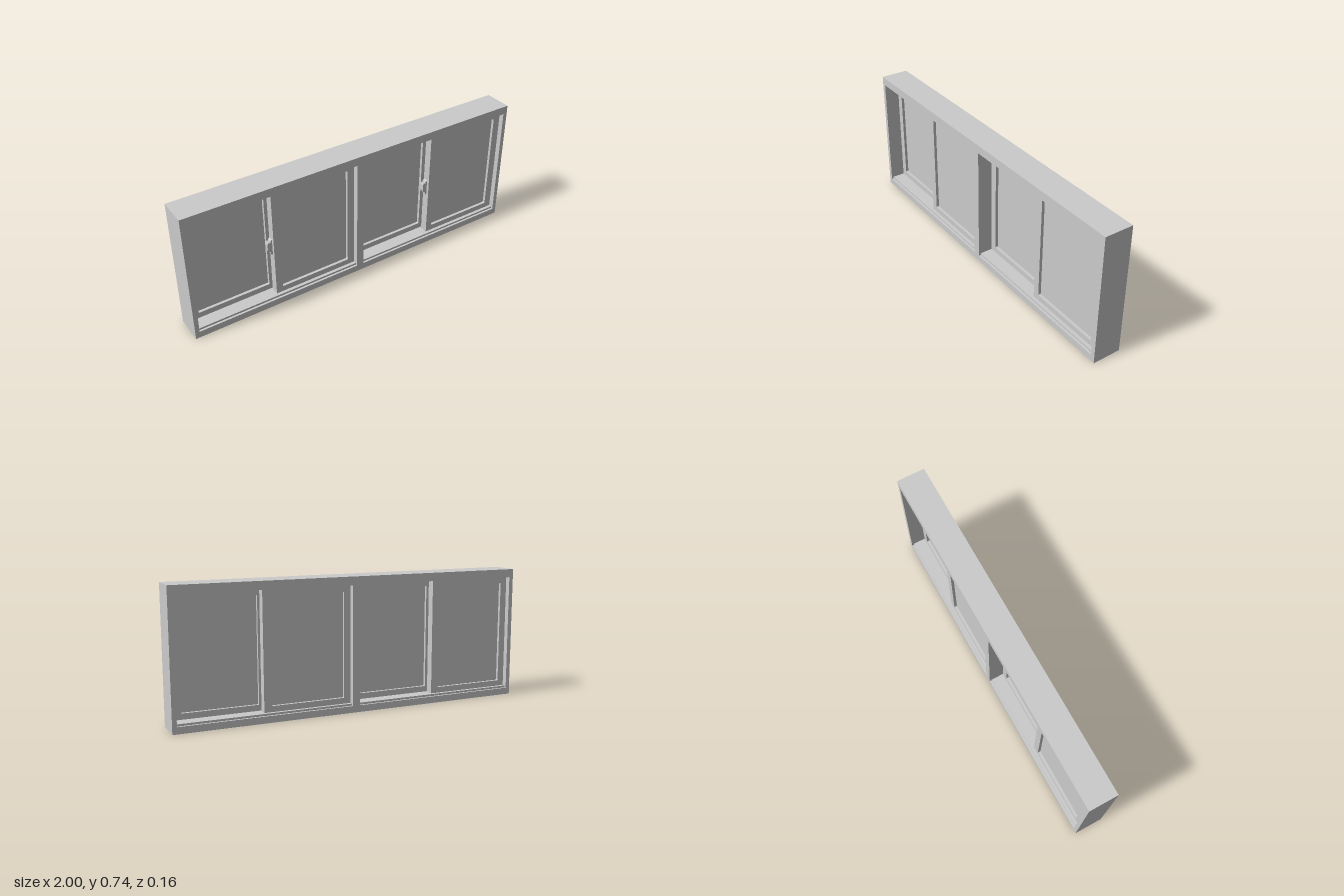
import * as THREE from 'three';

const material = new THREE.MeshStandardMaterial({ color: 0xcccccc, flatShading: true });

// Adds a rectangle to a Shape or Path, with optional rounded corners.
function rect(path, x0, y0, x1, y1, r = 0) {
  if (r === 0) {
    path.moveTo(x0, y0).lineTo(x1, y0).lineTo(x1, y1).lineTo(x0, y1).closePath();
    return path;
  }
  path.absarc(x1 - r, y0 + r, r, -Math.PI / 2, 0);
  path.absarc(x1 - r, y1 - r, r, 0, Math.PI / 2);
  path.absarc(x0 + r, y1 - r, r, Math.PI / 2, Math.PI);
  path.absarc(x0 + r, y0 + r, r, Math.PI, Math.PI * 1.5);
  path.closePath();
  return path;
}

// Extrudes a shape between two z positions.
function slab(name, shape, z0, z1) {
  const geometry = new THREE.ExtrudeGeometry(shape, { depth: z1 - z0, bevelEnabled: false, curveSegments: 4 });
  const mesh = new THREE.Mesh(geometry.translate(0, 0, z0), material);
  mesh.name = name;
  return mesh;
}

const HEIGHT = 0.736, DEPTH = 0.08;
const BAY = 0.4985, HALF = 0.4775;          // bay centre and half width
const BOTTOM = 0.037, TRACK = 0.048, TOP = 0.69;
const SASH = 0.492;

// One sliding sash: a frame around a recessed pane.
function createSash(name, x0, z0) {
  const sash = new THREE.Group();
  sash.name = name;
  const x1 = x0 + SASH, z1 = z0 + 0.045;
  const hole = [x0 + 0.038, 0.08, x1 - 0.042, 0.658];
  const frame = rect(new THREE.Shape(), x0, TRACK, x1, TOP);
  frame.holes.push(rect(new THREE.Path(), ...hole, 0.006));
  const [a, b, c, d] = hole;
  sash.add(
    slab('sashFrame', frame, z0, z1),
    slab('pane', rect(new THREE.Shape(), a - 0.005, b - 0.005, c + 0.005, d + 0.005), z0 + 0.016, z1 - 0.016)
  );
  return sash;
}

// Small stepped latch on the edge of the front sash.
function createLatch(x) {
  const shape = new THREE.Shape([
    [0, 0.3], [0, 0.395], [-0.008, 0.39], [-0.011, 0.378], [-0.024, 0.38], [-0.027, 0.37],
    [-0.027, 0.335], [-0.022, 0.325], [-0.012, 0.322], [-0.01, 0.306]
  ].map(([px, py]) => new THREE.Vector2(x + px, py)));
  return slab('latch', shape, 0.008, 0.034);
}

export function createModel() {
  const model = new THREE.Group();
  model.name = 'slidingWindow';

  // Outer frame with two openings
  const outer = rect(new THREE.Shape(), -1, 0, 1, HEIGHT);
  for (const side of [-1, 1]) {
    outer.holes.push(rect(new THREE.Path(), side * BAY - HALF, BOTTOM, side * BAY + HALF, TOP));
  }
  model.add(slab('outerFrame', outer, -DEPTH, DEPTH));

  // Raised sill, two staggered sashes and a latch in each bay
  for (const side of [-1, 1]) {
    const left = side * BAY - HALF, right = side * BAY + HALF;
    const bay = new THREE.Group();
    bay.name = side < 0 ? 'rightBay' : 'leftBay';
    bay.add(
      slab('sill', rect(new THREE.Shape(), left, BOTTOM - 0.005, right, TRACK), -0.068, 0.068),
      createSash('rearSash', left, -0.05),
      createSash('frontSash', right - SASH, 0.005),
      createLatch(right - SASH)
    );
    model.add(bay);
  }
  return model;
}
